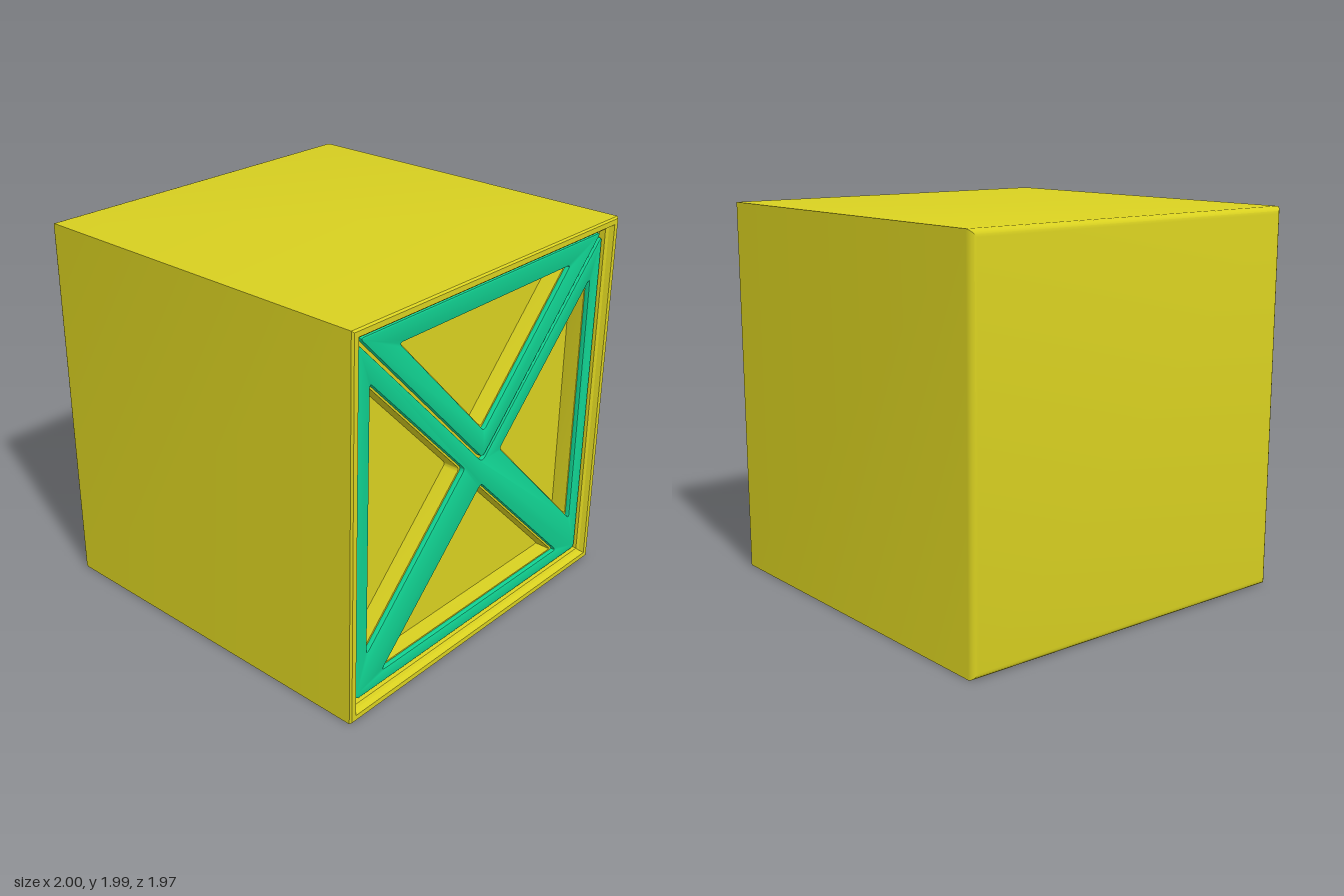
import * as THREE from 'three';
import { toCreasedNormals } from 'three/addons/utils/BufferGeometryUtils.js';

const V = (x, y) => new THREE.Vector2(x, y);
const CY = 0.995; // height of the cube's centre

// Closed outline with softly rounded corners
function outline(points, r, Type = THREE.Shape) {
  const s = new Type();
  points.forEach((p, i) => {
    const prev = points[(i + points.length - 1) % points.length];
    const next = points[(i + 1) % points.length];
    const a = p.clone().add(prev.clone().sub(p).setLength(r));
    const b = p.clone().add(next.clone().sub(p).setLength(r));
    if (i === 0) s.moveTo(a.x, a.y); else s.lineTo(a.x, a.y);
    s.quadraticCurveTo(p.x, p.y, b.x, b.y);
  });
  s.closePath();
  return s;
}

// Shrink a triangle about its centroid
function shrink(points, k) {
  const c = points.reduce((sum, p) => sum.add(p), V(0, 0)).divideScalar(points.length);
  return points.map((p) => p.clone().sub(c).multiplyScalar(k).add(c));
}

// Plate in the side plane, running from x0 to x1
function plate(name, points, holes, r, x0, x1, bevel, material) {
  const shape = outline(points, r);
  holes.forEach((h) => shape.holes.push(outline(h, 0.02, THREE.Path)));
  const geo = new THREE.ExtrudeGeometry(shape, {
    depth: x1 - x0 - bevel, curveSegments: 4, bevelEnabled: bevel > 0,
    bevelSize: bevel, bevelThickness: bevel, bevelOffset: -bevel, bevelSegments: 2,
  });
  geo.rotateY(Math.PI / 2).translate(x0, 0, 0);
  const mesh = new THREE.Mesh(toCreasedNormals(geo, 0.6), material);
  mesh.name = name;
  return mesh;
}

export function createModel() {
  const group = new THREE.Group();
  group.name = 'panelledCube';
  const yellow = new THREE.MeshStandardMaterial({ color: 0xd8d020 });
  const green = new THREE.MeshStandardMaterial({ color: 0x10d090 });

  // Cube body: four-sided loft along x, rounded at the closed end, recessed at the other
  const R = 0.035;
  const profile = [[0, -1]];
  for (let i = 0; i <= 4; i++) {
    const a = (i / 4) * Math.PI / 2;
    profile.push([1 - R + R * Math.sin(a), -1 + R - R * Math.cos(a)]);
  }
  profile.push([1, 0.99], [0.992, 1], [0.965, 1], [0.955, 0.975], [0.94, 0.965], [0.93, 0.85], [0, 0.85]);
  const bodyGeo = new THREE.LatheGeometry(profile.map(([h, x]) => V(h * Math.SQRT2, x)), 4);
  bodyGeo.rotateY(Math.PI / 4).rotateZ(-Math.PI / 2).scale(1, CY, 0.985).translate(0, CY, 0);
  const body = new THREE.Mesh(toCreasedNormals(bodyGeo, 0.5), yellow);
  body.name = 'body';
  group.add(body);

  // Triangular pockets between the braces
  const top = [V(-0.64, 1.815), V(0.64, 1.815), V(0, 1.155)];
  const left = [V(-0.83, 1.69), V(-0.83, 0.3), V(-0.14, 1.0)];
  const right = left.map((p) => V(-p.x, p.y)).reverse();
  const bottom = [V(-0.72, 0.145), V(0.72, 0.145), V(0, 0.86)];
  const pockets = [top, left, right, bottom];

  // Backing panel with pockets cut through to the recess floor
  group.add(plate('backingPanel',
    [V(-0.92, 0.065), V(0.92, 0.065), V(0.92, 1.925), V(-0.92, 1.925)],
    pockets.map((p) => shrink(p, 0.97)), 0.02, 0.85, 0.935, 0, yellow));

  // Coloured inlays: upper triangle, and lower frame with its braces
  group.add(plate('upperInlay', [V(-0.9, 1.92), V(0, 1.005), V(0.9, 1.92)],
    [top], 0.03, 0.93, 0.96, 0.008, green));
  group.add(plate('lowerInlay',
    [V(-0.91, 0.075), V(0.91, 0.075), V(0.91, 1.9), V(0, 0.985), V(-0.91, 1.9)],
    [left, right, bottom], 0.03, 0.93, 0.96, 0.008, green));

  return group;
}
